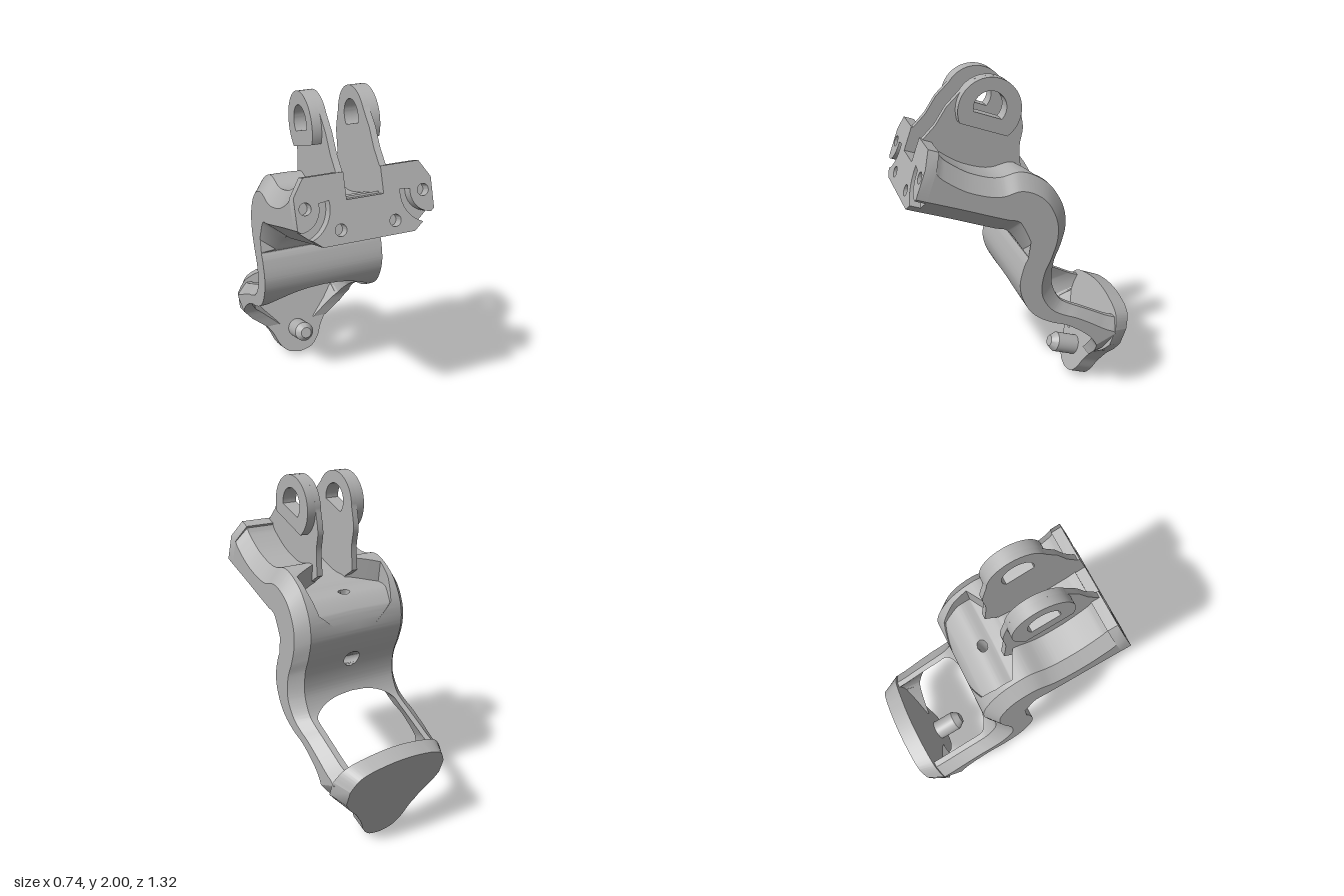
import * as THREE from 'three';
import { toCreasedNormals } from 'three/addons/utils/BufferGeometryUtils.js';

const TILT = THREE.MathUtils.degToRad(20);
const grey = new THREE.MeshStandardMaterial({ color: 0xb2b2b2 });
grey.name = 'plain grey';

// Body stations along the S-curve, as [z, y]: front/lower edge and back/upper edge
const FRONT = [[.604, 1.345], [.55, 1.326], [.42, 1.28], [.28, 1.228], [.18, 1.192], [.106, 1.165], [.034, 1.06],
  [.028, 1.045], [.036, 1.03], [.05, 1], [.07, .93], [.075, .87], [.06, .8], [.02, .72], [-.04, .66],
  [-.12, .615], [-.22, .575], [-.34, .49], [-.4, .41], [-.418, .33], [-.425, .24]];
const BACK = [[.49, 1.665], [.455, 1.625], [.35, 1.555], [.24, 1.513], [.16, 1.503], [.06, 1.52], [-.03, 1.49],
  [-.12, 1.42], [-.19, 1.3], [-.207, 1.18], [-.18, 1.066], [-.143, .97], [-.132, .865], [-.148, .79], [-.19, .72],
  [-.25, .68], [-.32, .645], [-.47, .567], [-.6, .495], [-.53, .36], [-.48, .26]];
// Depth and half width of the channel between the lugs and the pocket behind it
const CUT_DEPTH = [.34, .32, .25, .26, .28, .33, .28, .16, .04, 0];
const CUT_WIDTH = [.1, .1, .1, .1, .1, .1, .28, .27, .24, .1];
// Half widths where the rails narrow into the end plate, from station 17 on
const RAIL_OUTER = [.37, .37, .31, .21];
const RAIL_INNER = [.33, .29, .21, .12];
const STEPS = 12;

const curve = pts => new THREE.CatmullRomCurve3(pts.map(([z, y]) => new THREE.Vector3(0, y, z)), false, 'catmullrom', 0.5);
const mix = (list, i) => {
  const a = Math.floor(i), last = list.length - 1;
  return a >= last ? list[last] : list[a] + (list[a + 1] - list[a]) * (i - a);
};
const roundEnd = (i, start, full, width) => {
  const k = THREE.MathUtils.clamp((full - i) / (full - start), 0, 1);
  return width * Math.sqrt(1 - k * k);
};
const bump = (i, centre, half, r) => r * Math.sqrt(Math.max(0, 1 - ((i - centre) / half) ** 2));

// One half of the body, lofted from cross-sections; the gap between halves makes the window and holes
function bodyHalf(side) {
  const front = curve(FRONT), back = curve(BACK), n = FRONT.length - 1, rows = n * STEPS;
  const pos = [], index = [], count = 8;
  for (let r = 0; r <= rows; r++) {
    const i = r / STEPS, F = front.getPoint(i / n), B = back.getPoint(i / n);
    const inBlock = i < 6 ? 1 - .3 * Math.max(0, i - 5) : Math.max(0, .7 - (i - 6) * 4);
    const G = F.clone().add(new THREE.Vector3(0, .094, -.034).multiplyScalar(inBlock));
    const M = B.clone().lerp(F, Math.min(.45, .085 / B.distanceTo(F)));
    const C = B.clone().lerp(F, mix(CUT_DEPTH, i));
    const tail = Math.max(0, i - 17), outer = mix(RAIL_OUTER, tail), inner = mix(RAIL_INNER, tail);
    const inF = Math.min(inner, roundEnd(i, 12.25, 14.2, .33));
    const inB = Math.min(inner, Math.max(roundEnd(i, 13, 14.6, .27), bump(i, 10.75, .5, .052), bump(i, 6.667, .333, .036)));
    const cut = Math.max(Math.min(inner, mix(CUT_WIDTH, i)), inB);
    const section = [[inF, F], [outer - .12 * inBlock, F], [outer, G], [outer, M], [outer - .065, B], [cut, B], [cut, C], [inB, C]];
    for (const [x, p] of section) pos.push(side * x, p.y, p.z);
  }
  const tri = (a, b, c) => (side > 0 ? index.push(a, b, c) : index.push(a, c, b));
  for (let r = 0; r < rows; r++) {
    for (let j = 0; j < count; j++) {
      const a = r * count + j, b = r * count + (j + 1) % count;
      tri(a, a + count, b);
      tri(b, a + count, b + count);
    }
  }
  for (let j = 0; j < count; j++) {
    const k = (j + 1) % count, e = rows * count;
    if (j === 6 || k === 6) continue;
    tri(6, j, k);
    tri(e + 6, e + k, e + j);
  }
  const g = new THREE.BufferGeometry();
  g.setAttribute('position', new THREE.Float32BufferAttribute(pos, 3));
  g.setIndex(index);
  return toCreasedNormals(g, .6);
}

const part = (name, geometry) => {
  const m = new THREE.Mesh(geometry, grey);
  m.name = name;
  return m;
};
const rawExtrude = (shape, depth) => new THREE.ExtrudeGeometry(shape, { depth, bevelEnabled: false, curveSegments: 20 });
const extrude = (shape, depth) => toCreasedNormals(rawExtrude(shape, depth), .6);
// Extrudes a (z, y) outline between two x positions
const sidePlate = (shape, x0, x1) => extrude(shape, x1 - x0).rotateY(-Math.PI / 2).translate(x1, 0, 0);
// Circle with a flat cut on its tilted lower side
function dOutline(path, z, y, r, flat) {
  const down = -Math.PI / 2 + TILT, gap = Math.acos(flat / r);
  path.absarc(z, y, r, down + gap, down - gap + Math.PI * 2, false);
  path.closePath();
  return path;
}

// Front face plate with screw holes and curved grooves running out at the lower corners
function facePlate() {
  const half = [[.25, 0]];
  const arc = (r, from, to) => {
    for (let k = 0; k <= 10; k++) {
      const t = THREE.MathUtils.degToRad(from + (to - from) * k / 10);
      half.push([.36 + r * Math.cos(t), .2 + r * Math.sin(t)]);
    }
  };
  arc(.17, 249.5, 172);
  arc(.115, 172, 266);
  half.push([.37, .1], [.37, .26], [.31, .35], [.1, .35], [.1, .213]);
  const pts = [...half, ...half.map(([x, y]) => [-x, y]).reverse()];
  const s = new THREE.Shape(pts.map(([x, y]) => new THREE.Vector2(x, y)));
  for (const side of [1, -1]) {
    for (const [x, y] of [[.318, .2], [.148, .07]]) {
      s.holes.push(new THREE.Path().absarc(side * x, y, .031, 0, Math.PI * 2, true));
    }
  }
  return extrude(s, .06).translate(0, 0, -.06);
}

// Lower end plate: wide top with a shallow arch, necking to a round lobe, narrower at the back
function endPlate() {
  const v = list => list.map(([x, y]) => new THREE.Vector2(x, y));
  const lobe = [[.08, .02], [.135, .08], [.175, .17], [.235, .25], [.315, .315], [.37, .38]];
  const top = [[.3, .56], [.15, .602], [0, .616], [-.15, .602], [-.3, .56], [-.37, .48]];
  const s = new THREE.Shape();
  s.moveTo(0, 0);
  s.splineThru(v(lobe));
  s.lineTo(.37, .48);
  s.splineThru(v(top));
  s.lineTo(-.37, .38);
  s.splineThru(v([...lobe.slice(0, -1).reverse().map(([x, y]) => [-x, y]), [0, 0]]));
  const g = rawExtrude(s, .1), p = g.attributes.position;
  for (let i = 0; i < p.count; i++) {
    const x = p.getX(i), over = Math.max(0, Math.abs(x) - .2);
    if (p.getZ(i) < .05) p.setX(i, x - Math.sign(x) * over * .28);
  }
  return toCreasedNormals(g, .6);
}

// Upright lug outline with a D-shaped eye
function lugShape() {
  const s = new THREE.Shape();
  s.moveTo(.5, 1.5);
  for (const [z, y] of [[.53, 1.69], [.46, 1.76], [.4, 1.85]]) s.lineTo(z, y);
  s.absarc(.18, 1.827, .173, .6, Math.PI, false);
  s.splineThru([[-.015, 1.71], [.003, 1.6], [-.005, 1.46]].map(p => new THREE.Vector2(...p)));
  s.lineTo(.1, 1.39);
  s.closePath();
  s.holes.push(dOutline(new THREE.Path(), .18, 1.84, .09, .04));
  return s;
}
function bossShape() {
  const s = dOutline(new THREE.Shape(), .18, 1.827, .173, .106);
  s.holes.push(dOutline(new THREE.Path(), .18, 1.84, .09, .04));
  return s;
}

export function createModel() {
  const model = new THREE.Group();
  model.name = 'curvedBracket';
  model.add(part('bodyLeft', bodyHalf(1)), part('bodyRight', bodyHalf(-1)));

  const face = part('frontFacePlate', facePlate());
  face.position.set(0, 1.365, .66);
  face.rotation.x = -TILT;
  model.add(face);

  // Pair of lugs, each a thin plate with a thicker outer boss
  const lug = lugShape(), boss = bossShape();
  model.add(
    part('lugLeft', sidePlate(lug, .1, .135)), part('lugRight', sidePlate(lug, -.135, -.1)),
    part('lugBossLeft', sidePlate(boss, .135, .185)), part('lugBossRight', sidePlate(boss, -.185, -.135)));

  // Tilted end plate carrying the locating pin
  const end = new THREE.Group();
  end.name = 'lowerEnd';
  end.position.set(0, 0, -.45);
  end.rotation.x = -TILT;
  const profile = [[0, .02], [.062, .02], [.062, .238], [.034, .278], [0, .278]].map(p => new THREE.Vector2(...p));
  const pin = toCreasedNormals(new THREE.LatheGeometry(profile, 32), .6);
  pin.rotateX(Math.PI / 2).translate(0, .165, 0);
  end.add(part('endPlate', endPlate()), part('locatingPin', pin));
  model.add(end);
  return model;
}
